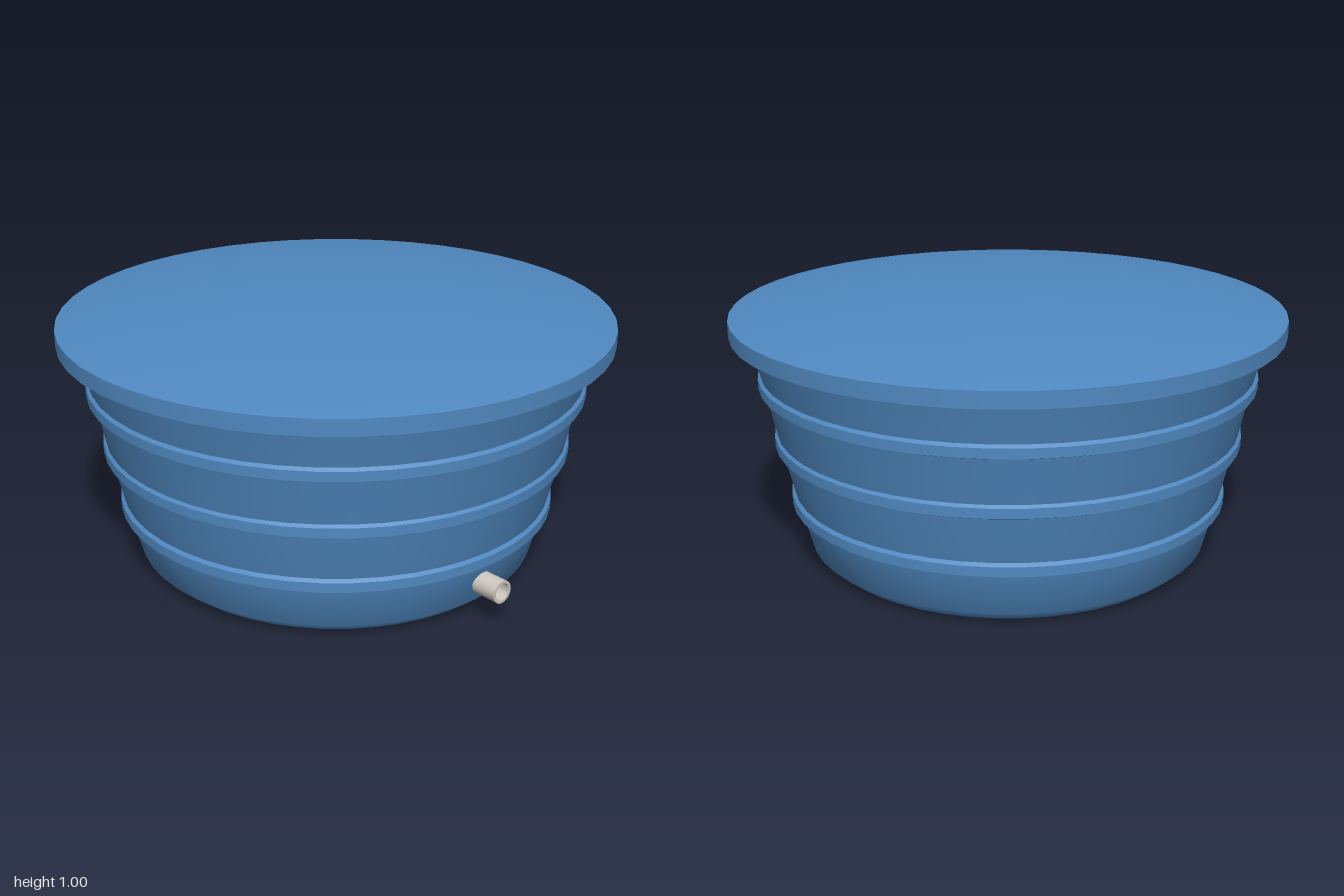
import * as THREE from 'three';
import { toCreasedNormals } from 'three/addons/utils/BufferGeometryUtils.js';

export function createModel() {
  const blue = new THREE.MeshStandardMaterial({ color: 0x5089c1 });
  blue.name = 'blue plastic';
  const grey = new THREE.MeshStandardMaterial({ color: 0xcfc8c0 });
  grey.name = 'pale pipe';
  const group = new THREE.Group();
  group.name = 'waterTank';

  // turned part from [radius, height] points, listed so surfaces face outward
  function turned(name, profile, material, segments, crease) {
    let geometry = new THREE.LatheGeometry(profile.map(([r, y]) => new THREE.Vector2(r, y)), segments);
    if (crease) geometry = toCreasedNormals(geometry, crease);
    const mesh = new THREE.Mesh(geometry, material);
    mesh.name = name;
    group.add(mesh);
    return mesh;
  }

  // tapered tub with a softened base
  turned('tub', [[0, 0], [0.4, 0], [0.68, 0.005], [0.735, 0.05], [0.776, 0.2],
    [0.835, 0.44], [0.882, 0.66], [0.935, 0.86]], blue, 48);

  // reinforcing ribs: [bottom height, inner bottom, outer, inner top]
  const ribs = [[0.2, 0.77, 0.802, 0.782], [0.425, 0.825, 0.854, 0.835], [0.645, 0.872, 0.904, 0.885]];
  ribs.forEach(([y, low, out, top], i) => turned('rib' + (i + 1),
    [[low, y], [out, y + 0.013], [out, y + 0.048], [top, y + 0.065]], blue, 48, 0.5));

  // shallow domed lid with an overhanging rim
  turned('lid', [[0.92, 0.85], [0.998, 0.85], [0.998, 0.908], [0.84, 0.941],
    [0.6, 0.968], [0.34, 0.991], [0, 1]], blue, 48, 0.5);

  // hollow outlet pipe on the left side
  const pipe = turned('outletPipe', [[0.032, 0.1], [0.032, 0], [0.042, 0], [0.042, 0.1], [0.032, 0.1]], grey, 24, 0.5);
  pipe.rotation.z = -Math.PI / 2;
  pipe.position.set(0.755, 0.127, 0);

  return group;
}
